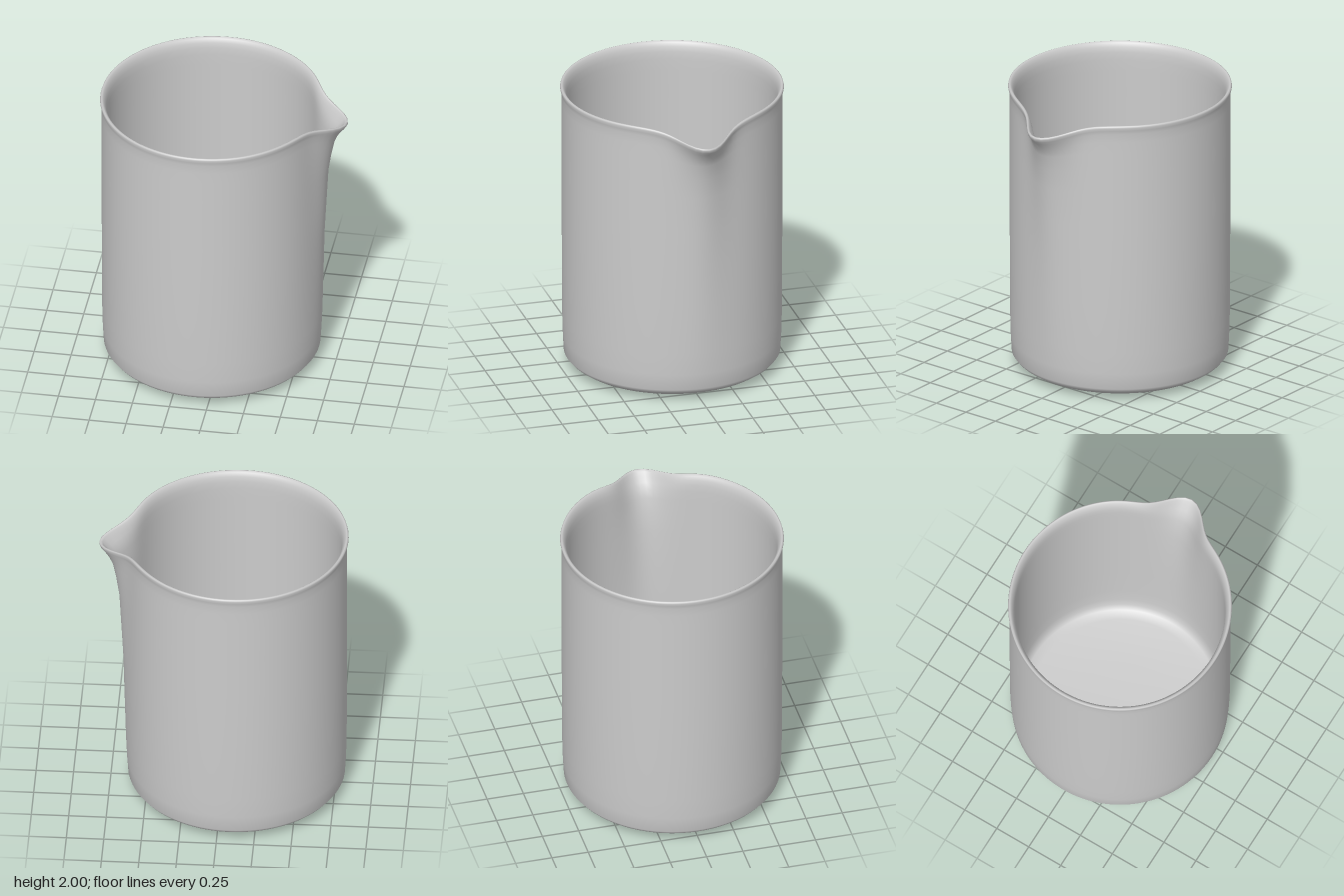
import * as THREE from 'three';
import { mergeVertices } from 'three/addons/utils/BufferGeometryUtils.js';

const CENTRE_X = -0.09;

// Closed wall profile [radius, height]: underside, outer wall, rolled rim, inner wall, floor
const PROFILE = [
  [0, 0], [0.3, 0.008], [0.55, 0.025], [0.665, 0.038], [0.7, 0.062], [0.722, 0.09],
  [0.728, 0.2], [0.732, 0.35], [0.734, 0.7], [0.735, 1], [0.735, 1.25], [0.735, 1.5], [0.735, 1.65],
  [0.735, 1.8], [0.735, 1.88], [0.736, 1.94], [0.742, 1.965], [0.746, 1.985], [0.743, 1.997],
  [0.734, 2], [0.722, 1.99], [0.71, 1.965], [0.703, 1.93], [0.7, 1.88], [0.7, 1.8], [0.7, 1.65],
  [0.7, 1.5], [0.7, 1.25], [0.7, 1], [0.7, 0.7], [0.7, 0.35], [0.695, 0.2], [0.685, 0.13],
  [0.66, 0.09], [0.6, 0.07], [0.3, 0.055], [0, 0.05],
];

// How far the spout pushes the wall outwards at each height
const BULGE = [[0, 0], [0.5, 0.01], [1, 0.022], [1.5, 0.05], [1.8, 0.095], [1.9, 0.125], [1.97, 0.17], [2, 0.175]];

function bulgeAt(y) {
  for (let i = 1; i < BULGE.length; i++) {
    const [y0, b0] = BULGE[i - 1], [y1, b1] = BULGE[i];
    if (y <= y1) return THREE.MathUtils.mapLinear(y, y0, y1, b0, b1);
  }
  return BULGE[BULGE.length - 1][1];
}

const bell = (angle, widthDeg) => Math.exp(-0.5 * (angle / THREE.MathUtils.degToRad(widthDeg)) ** 2);

export function createModel() {
  const group = new THREE.Group();
  group.name = 'beaker';

  let geometry = new THREE.LatheGeometry(PROFILE.map(([r, y]) => new THREE.Vector2(r, y)), 128);

  // Pull the wall out and dip the rim towards +x to form the pouring spout
  const pos = geometry.attributes.position;
  for (let i = 0; i < pos.count; i++) {
    const x = pos.getX(i), y = pos.getY(i), z = pos.getZ(i);
    const r = Math.hypot(x, z);
    const angle = Math.atan2(z, x);
    const push = r > 0.5 ? bulgeAt(y) * bell(angle, 8.5) : 0;
    const scale = r > 0 ? (r + push) / r : 1;
    const dip = 0.09 * bell(angle, 13) * THREE.MathUtils.smoothstep(y, 1.6, 1.97);
    pos.setXYZ(i, x * scale + CENTRE_X, y - dip, z * scale);
  }

  // Weld the seam so the shading is smooth all round
  geometry.deleteAttribute('uv');
  geometry.deleteAttribute('normal');
  geometry = mergeVertices(geometry, 1e-5);
  geometry.computeVertexNormals();

  const vessel = new THREE.Mesh(geometry, new THREE.MeshStandardMaterial({ color: 0xcccccc }));
  vessel.name = 'vesselWithSpout';
  group.add(vessel);
  return group;
}
